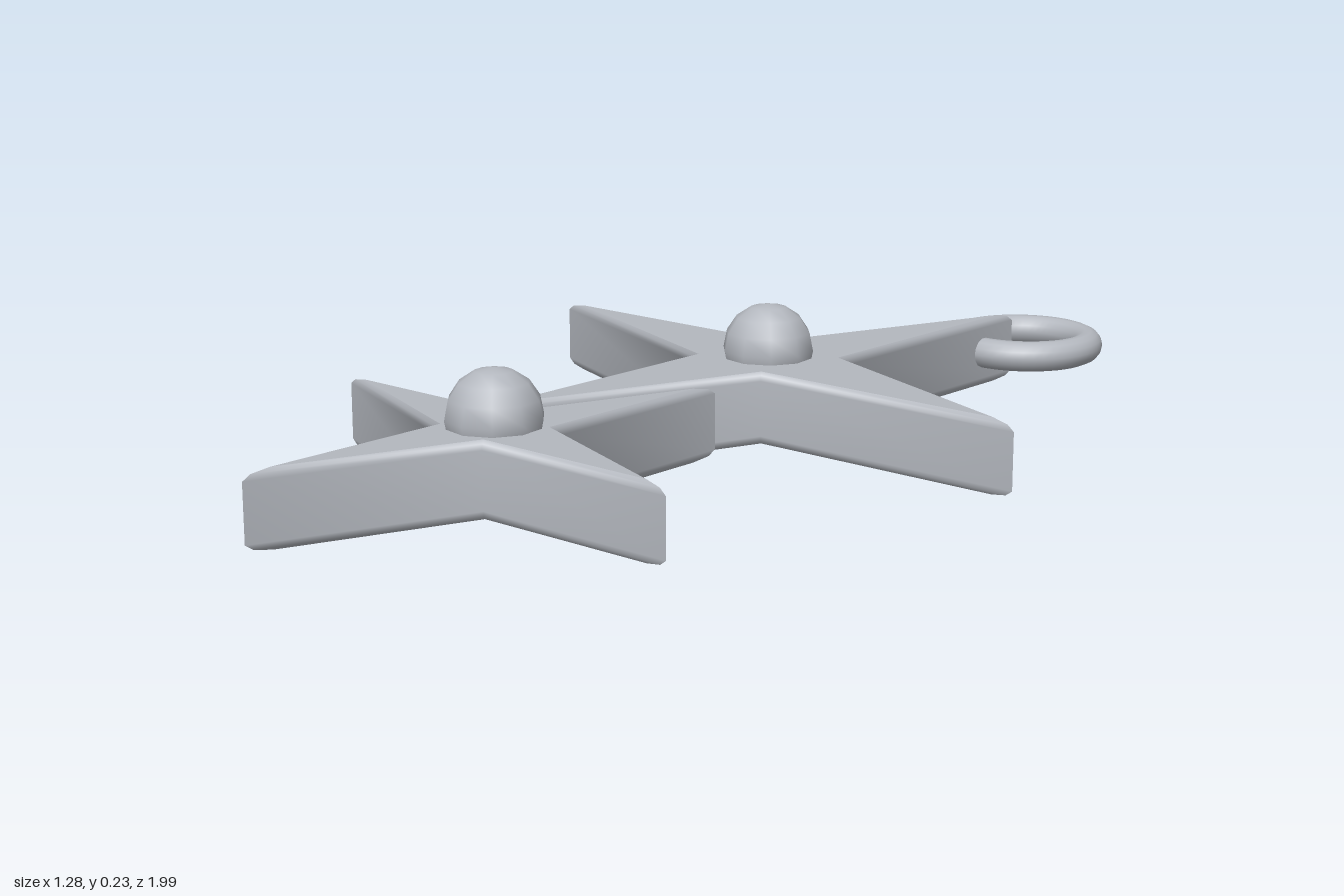
import * as THREE from 'three';

const THICKNESS = 0.135;
const BEVEL = 0.009;
// Wall profile from bottom to top: [inset, height]
const PROFILE = [
  [BEVEL, 0], [BEVEL * 0.3, 0.006], [0, 0.016],
  [0, THICKNESS - 0.016], [BEVEL * 0.3, THICKNESS - 0.006], [BEVEL, THICKNESS],
];

// Four-pointed bevelled star lying flat, tip radius r, valley corners at (±a, ±a)
function starGeometry(r, a) {
  const pos = [], idx = [];
  const edge = Math.hypot(r - a, a);
  const add = (x, y, z) => pos.push(x, y, z) / 3 - 1;
  const turn = (x, z, q) => {
    for (let i = 0; i < q; i++) [x, z] = [-z, x];
    return [x, z];
  };
  const tip = (d) => r - d * edge / a;
  const valley = (d) => a - d * edge / r;

  // Walls: smooth through each valley, sharp at each tip
  for (let q = 0; q < 4; q++) {
    const rows = PROFILE.map(([d, y]) => {
      const v = valley(d);
      return [[tip(d), 0], [v, v], [0, tip(d)]].map(([x, z]) => {
        const [px, pz] = turn(x, z, q);
        return add(px, y, pz);
      });
    });
    for (let k = 0; k < rows.length - 1; k++) {
      for (let j = 0; j < 2; j++) {
        const A = rows[k][j], B = rows[k][j + 1];
        const C = rows[k + 1][j + 1], D = rows[k + 1][j];
        idx.push(A, D, C, A, C, B);
      }
    }
  }

  // Flat top and bottom caps
  for (const y of [0, THICKNESS]) {
    const c = add(0, y, 0), loop = [];
    for (let q = 0; q < 4; q++) {
      const v = valley(BEVEL);
      for (const [x, z] of [[tip(BEVEL), 0], [v, v]]) {
        const [px, pz] = turn(x, z, q);
        loop.push(add(px, y, pz));
      }
    }
    loop.forEach((p, i) => {
      const n = loop[(i + 1) % loop.length];
      if (y > 0) idx.push(c, n, p);
      else idx.push(c, p, n);
    });
  }

  const g = new THREE.BufferGeometry();
  g.setAttribute('position', new THREE.Float32BufferAttribute(pos, 3));
  g.setIndex(idx);
  g.computeVertexNormals();
  return g;
}

export function createModel() {
  const model = new THREE.Group();
  model.name = 'starPendant';
  const silver = new THREE.MeshStandardMaterial({ color: 0xb4b8bf });
  silver.name = 'silver';

  const part = (name, geometry, x, y, z) => {
    const mesh = new THREE.Mesh(geometry, silver);
    mesh.name = name;
    mesh.position.set(x, y, z);
    model.add(mesh);
    return mesh;
  };

  // Two stars, each with a round stud at its centre
  const stars = [
    { name: 'large', r: 0.642, a: 0.1, x: 0, z: -0.165 },
    { name: 'small', r: 0.468, a: 0.073, x: 0.12, z: 0.525 },
  ];
  for (const s of stars) {
    part(s.name + 'Star', starGeometry(s.r, s.a), s.x, 0, s.z);
    part(s.name + 'Stud', new THREE.SphereGeometry(0.086, 10, 8), s.x, 0.149, s.z);
  }

  // Hanging ring around the rear tip
  const ring = part('hangingRing', new THREE.TorusGeometry(0.13, 0.03, 14, 48), 0, 0.068, -0.84);
  ring.rotation.x = Math.PI / 2;

  return model;
}
